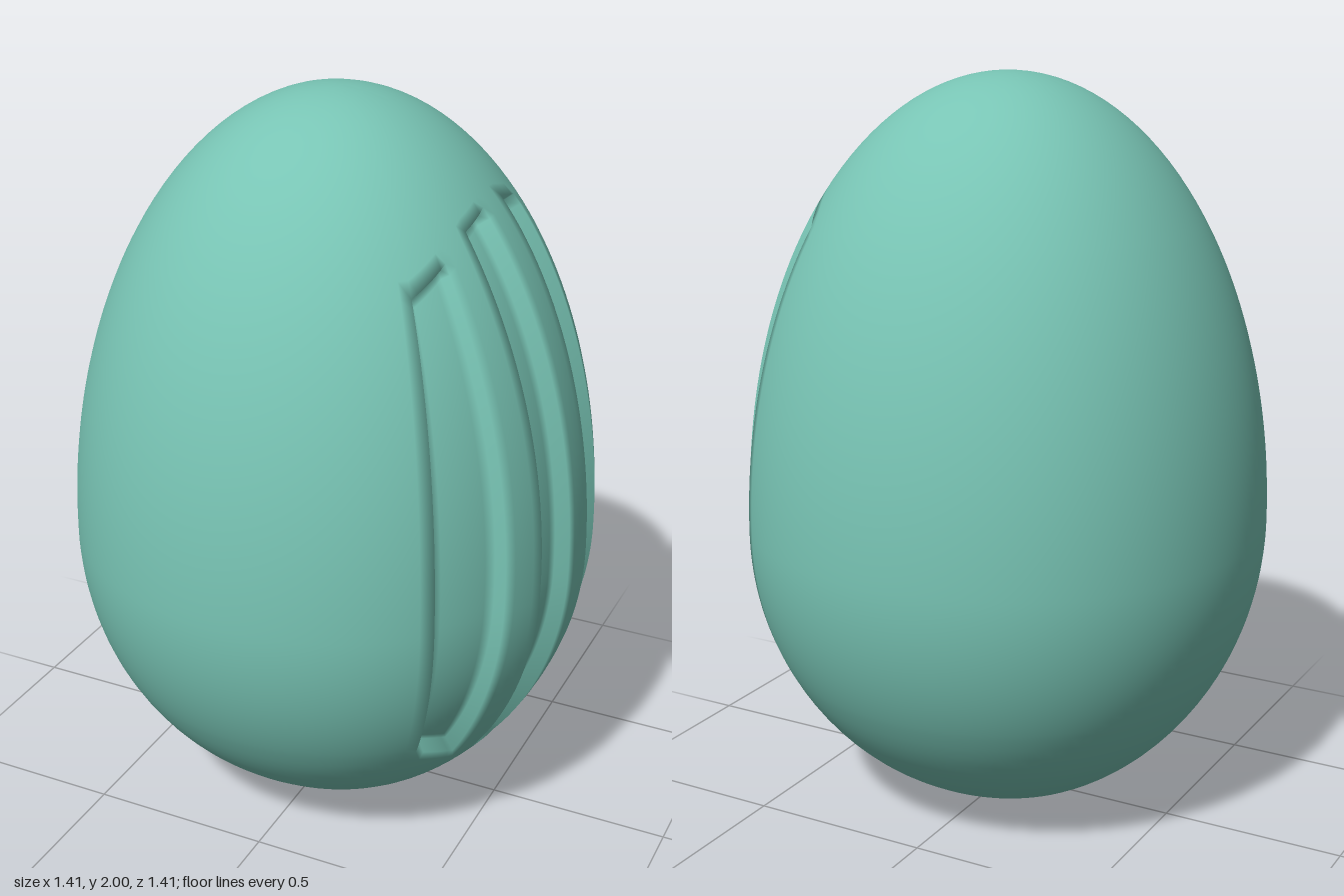
import * as THREE from 'three';
import { toCreasedNormals } from 'three/addons/utils/BufferGeometryUtils.js';

const RADIUS = 0.705, WAIST = 0.8, DEPTH = 0.041, SQUARENESS = 0.016;

// Groove edges by angle from +x, with the spread and end heights at each edge
const KNOTS = [0, 5.7, 17.3, 28.3, 45, 180];
const SPREAD = [0, 2, 4, 5, 0, 0];
const TOP = [1.76, 1.755, 1.725, 1.675, 1.615, 1.615];
const BOTTOM = [0.25, 0.255, 0.28, 0.335, 0.39, 0.39];

function lookUp(table, angle) {
  const a = Math.abs(angle);
  let i = 0;
  while (i < KNOTS.length - 2 && a > KNOTS[i + 1]) i++;
  return THREE.MathUtils.lerp(table[i], table[i + 1], (a - KNOTS[i]) / (KNOTS[i + 1] - KNOTS[i]));
}

// The egg is two half ellipses meeting at the waist
const halfHeight = (c) => (c > 0 ? WAIST : 2 - WAIST);
const polarAt = (y) => Math.acos((WAIST - y) / halfHeight(WAIST - y));

// Splits each span into steps; both ends are kept so neighbouring spans can form a wall
function stations(edges, steps, isGroove) {
  const list = [];
  for (let i = 0; i < edges.length - 1; i++)
    for (let k = 0; k <= steps[i]; k++)
      list.push({ at: THREE.MathUtils.lerp(edges[i], edges[i + 1], k / steps[i]), groove: isGroove(i) });
  return list;
}

function surfacePoint(col, row) {
  const low = polarAt(lookUp(BOTTOM, col.at)), high = polarAt(lookUp(TOP, col.at));
  const marks = [0, low, high, Math.PI];
  const span = Math.min(2, Math.floor(row.at));
  const polar = THREE.MathUtils.lerp(marks[span], marks[span + 1], row.at - span);
  const s = Math.sin(polar), c = Math.cos(polar), h = halfHeight(c);
  let y = WAIST - h * c;

  // Grooves spread apart towards their ends
  const t = Math.min(1, Math.abs(y - 1) / 0.72);
  const angle = col.at + Math.sign(col.at) * lookUp(SPREAD, col.at) * t * t;
  const phi = THREE.MathUtils.degToRad(angle);

  // The plan is a slightly squared circle
  let r = RADIUS * s * (1 + SQUARENESS * Math.sin(2 * phi) ** 2);

  // Sink the groove floor along the surface normal
  if (col.groove && row.groove) {
    const len = Math.hypot(h * s, RADIUS * c);
    r -= DEPTH * h * s / len;
    y += DEPTH * RADIUS * c / len;
  }
  return new THREE.Vector3(r * Math.cos(phi), y, r * Math.sin(phi));
}

function eggGeometry() {
  const half = KNOTS.slice(1);
  const cols = stations([...half.map((a) => -a).reverse(), ...half],
    [44, 6, 4, 4, 4, 4, 4, 6, 44], (i) => i % 2 === 1);
  const rows = stations([0, 1, 2, 3], [18, 48, 18], (i) => i === 1);
  const grid = cols.map((c) => rows.map((r) => surfacePoint(c, r)));
  const positions = [];
  const area = new THREE.Triangle();
  const addTriangle = (a, b, c) => {
    if (area.set(a, b, c).getArea() < 1e-9) return;
    for (const p of [a, b, c]) positions.push(p.x, p.y, p.z);
  };
  for (let i = 0; i < cols.length - 1; i++)
    for (let j = 0; j < rows.length - 1; j++) {
      const a = grid[i][j], b = grid[i][j + 1], c = grid[i + 1][j + 1], d = grid[i + 1][j];
      addTriangle(a, b, c);
      addTriangle(a, c, d);
    }
  const geometry = new THREE.BufferGeometry();
  geometry.setAttribute('position', new THREE.Float32BufferAttribute(positions, 3));
  // Smooth everywhere, so the groove edges look soft
  return toCreasedNormals(geometry, Math.PI);
}

export function createModel() {
  const model = new THREE.Group();
  model.name = 'groovedEgg';
  const shell = new THREE.Mesh(eggGeometry(), new THREE.MeshStandardMaterial({ color: 0x78c4b4 }));
  shell.name = 'eggShell';
  model.add(shell);
  return model;
}
